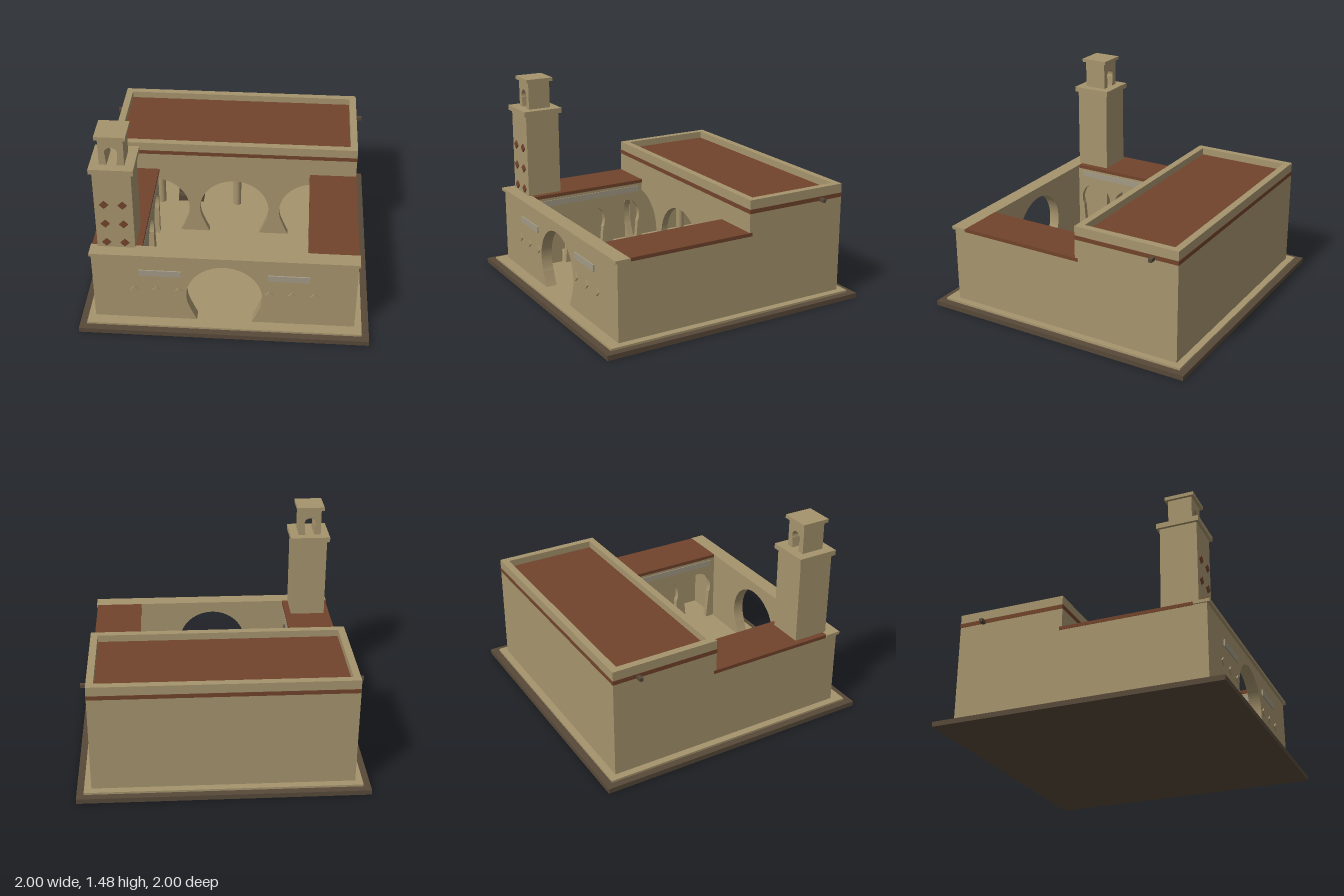
import * as THREE from 'three';

const material = (name, color) => {
  const m = new THREE.MeshStandardMaterial({ color });
  m.name = name;
  return m;
};

export function createModel() {
  const model = new THREE.Group();
  model.name = 'courtyardBuilding';
  const sand = material('sand', 0xa6946d);
  const clay = material('clay', 0x72442c);
  const wood = material('darkWood', 0x574939);
  const stucco = material('stucco', 0xa39a86);

  const add = (name, geometry, mat) => {
    const mesh = new THREE.Mesh(geometry, mat);
    mesh.name = name;
    model.add(mesh);
    return mesh;
  };
  // Box given by its limits on each axis
  const box = (name, mat, x0, x1, y0, y1, z0, z1) => {
    const g = new THREE.BoxGeometry(x1 - x0, y1 - y0, z1 - z0);
    g.translate((x0 + x1) / 2, (y0 + y1) / 2, (z0 + z1) / 2);
    return add(name, g, mat);
  };
  // Wall with horseshoe openings rising from its lower edge
  const archWall = (x0, x1, y0, y1, arches, depth) => {
    const s = new THREE.Shape();
    s.moveTo(x0, y0);
    for (const { x, cy, r, foot } of arches) {
      const a = 0.45;
      const neckX = r * Math.cos(a), neckY = cy - r * Math.sin(a);
      const midY = (neckY + y0) / 2;
      s.lineTo(x - foot, y0);
      s.quadraticCurveTo(x - foot - 0.1 * r, midY, x - neckX, neckY);
      s.absarc(x, cy, r, Math.PI + a, -a, true);
      s.quadraticCurveTo(x + foot + 0.1 * r, midY, x + foot, y0);
    }
    s.lineTo(x1, y0);
    s.lineTo(x1, y1);
    s.lineTo(x0, y1);
    s.closePath();
    return new THREE.ExtrudeGeometry(s, { depth, bevelEnabled: false, curveSegments: 28 });
  };
  const diamond = (name, mat, x, y, z) => {
    const g = new THREE.BoxGeometry(0.043, 0.043, 0.009);
    g.rotateZ(Math.PI / 4);
    g.translate(x, y, z + 0.0045);
    add(name, g, mat);
  };

  // Plinth and paved floor
  box('plinth', wood, -1, 1, 0, 0.035, -1, 1);
  box('floor', sand, -0.95, 0.95, 0.035, 0.05, -0.95, 0.95);

  // Front wall with gate and coping
  const gate = { x: 0, cy: 0.265, r: 0.26, foot: 0.19 };
  add('frontWall', archWall(-0.9, 0.9, 0.05, 0.59, [gate], 0.08), sand).position.z = 0.79;
  box('frontCoping', sand, -0.91, 0.91, 0.59, 0.612, 0.78, 0.89);

  // Hall: arched facade, back wall and columns
  const hallArches = [-0.6, 0, 0.6].map((x) => ({ ...gate, x }));
  add('hallFacade', archWall(-0.9, 0.9, 0.05, 0.745, hallArches, 0.05), sand).position.z = -0.18;
  box('hallBackWall', sand, -0.9, 0.9, 0.05, 0.745, -0.9, -0.85);
  for (const x of [-0.6, 0, 0.6]) {
    const g = new THREE.CylinderGeometry(0.03, 0.03, 0.695, 16);
    g.translate(x, 0.3975, -0.5);
    add('hallColumn', g, sand);
  }

  // Hall roof: band, sunken roof and parapet
  box('roofBand', clay, -0.902, 0.902, 0.745, 0.775, -0.902, -0.128);
  box('hallRoof', clay, -0.85, 0.85, 0.775, 0.79, -0.85, -0.18);
  box('parapetBack', sand, -0.9, 0.9, 0.775, 0.84, -0.9, -0.85);
  box('parapetFront', sand, -0.9, 0.9, 0.775, 0.84, -0.18, -0.13);

  // Stepped pulpit inside the hall
  for (let i = 0; i < 6; i++) {
    box('pulpitStep', wood, -0.47, -0.27, 0.05, 0.1 + i * 0.05, -0.55 - i * 0.05, -0.5 - i * 0.05);
  }

  // Mirrored sides: outer walls, galleries, spouts and front ornaments
  const galleryArches = [0.022, 0.325, 0.628].map((x) => ({ x, cy: 0.335, r: 0.13, foot: 0.095 }));
  for (const side of [-1, 1]) {
    const sideBox = (name, mat, a, b, ...rest) =>
      box(name, mat, Math.min(side * a, side * b), Math.max(side * a, side * b), ...rest);
    sideBox('galleryOuterWall', sand, 0.85, 0.9, 0.05, 0.59, -0.13, 0.79);
    sideBox('hallSideWall', sand, 0.85, 0.9, 0.05, 0.745, -0.85, -0.18);
    sideBox('parapetSide', sand, 0.85, 0.9, 0.775, 0.84, -0.85, -0.18);
    sideBox('galleryRoof', clay, 0.56, 0.902, 0.587, 0.612, -0.15, 0.782);
    sideBox('rainSpout', wood, 0.88, 0.945, 0.74, 0.765, -0.732, -0.708);
    sideBox('stuccoFrieze', stucco, 0.564, 0.572, 0.52, 0.565, -0.1, 0.75);
    sideBox('stuccoPanel', stucco, 0.295, 0.58, 0.43, 0.477, 0.87, 0.879);

    const arcade = archWall(-0.13, 0.79, 0.05, 0.587, galleryArches, 0.04);
    arcade.rotateY(-Math.PI / 2);
    add('galleryArcade', arcade, sand).position.x = side > 0 ? 0.61 : -0.57;

    for (const x of [0.308, 0.462, 0.615]) diamond('wallDiamond', sand, side * x, 0.303, 0.87);
  }

  // Tower shaft, balcony slab, lantern and cap
  const tx = -0.732, tz = 0.675;
  const towerBox = (name, half, y0, y1) =>
    box(name, sand, tx - half, tx + half, y0, y1, tz - half, tz + half);
  towerBox('towerShaft', 0.128, 0.05, 1.215);
  towerBox('towerBalcony', 0.147, 1.215, 1.252);
  const lanternArch = { x: 0, cy: 1.342, r: 0.043, foot: 0.033 };
  add('towerLantern', archWall(-0.083, 0.083, 1.252, 1.45, [lanternArch], 0.166), sand)
    .position.set(tx, 0, tz - 0.083);
  towerBox('towerCap', 0.102, 1.45, 1.475);
  for (const y of [0.655, 0.81, 0.965]) {
    for (const x of [-0.795, -0.672]) diamond('towerDiamond', clay, x, y, tz + 0.128);
  }

  return model;
}
